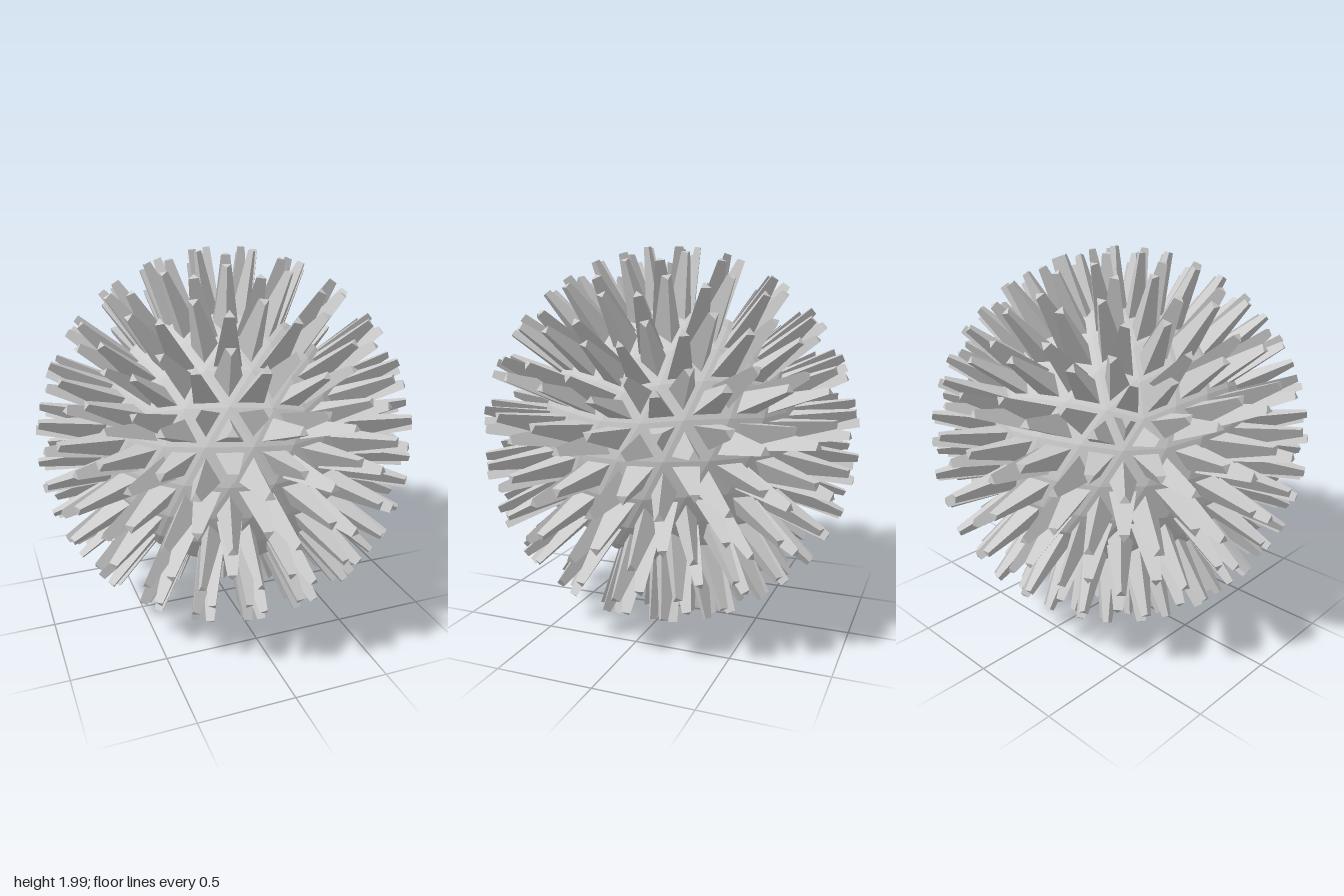
import * as THREE from 'three';
import { mergeGeometries } from 'three/addons/utils/BufferGeometryUtils.js';

const BODY_RADIUS = 0.69;
const TIP_RADIUS = 1.004; // distance of the spike ends from the centre
const BASE_SCALE = 0.6;   // spike foot relative to its body facet
const TIP_SCALE = 0.22;   // spike end relative to its body facet

// Tapered three-sided spike standing on one triangular facet
function spikeGeometry(corners) {
  const facet = new THREE.Triangle(...corners);
  const centre = facet.getMidpoint(new THREE.Vector3());
  const normal = facet.getNormal(new THREE.Vector3());
  const lift = normal.clone().multiplyScalar(TIP_RADIUS - centre.length());
  const foot = corners.map((c) => centre.clone().lerp(c, BASE_SCALE));
  const tip = corners.map((c) => centre.clone().lerp(c, TIP_SCALE).add(lift));

  const points = [...tip];
  for (let i = 0; i < 3; i++) {
    const j = (i + 1) % 3;
    points.push(foot[i], foot[j], tip[j], foot[i], tip[j], tip[i]);
  }
  const geometry = new THREE.BufferGeometry().setFromPoints(points);
  geometry.computeVertexNormals();
  return geometry;
}

export function createModel() {
  const model = new THREE.Group();
  model.name = 'spikyBall';
  const material = new THREE.MeshStandardMaterial({ color: 0xcccccc, flatShading: true });

  // Faceted core, turned so that a five-sided corner points straight up
  const core = new THREE.IcosahedronGeometry(BODY_RADIUS, 3);
  core.rotateZ(-Math.atan(2 / (1 + Math.sqrt(5))));
  const body = new THREE.Mesh(core, material);
  body.name = 'body';

  // One spike on every facet of the core
  const position = core.attributes.position;
  const spikeParts = [];
  for (let i = 0; i < position.count; i += 3) {
    const corners = [0, 1, 2].map((k) => new THREE.Vector3().fromBufferAttribute(position, i + k));
    spikeParts.push(spikeGeometry(corners));
  }
  const spikes = new THREE.Mesh(mergeGeometries(spikeParts), material);
  spikes.name = 'spikes';

  model.add(body, spikes);
  model.position.y = 1;
  return model;
}
